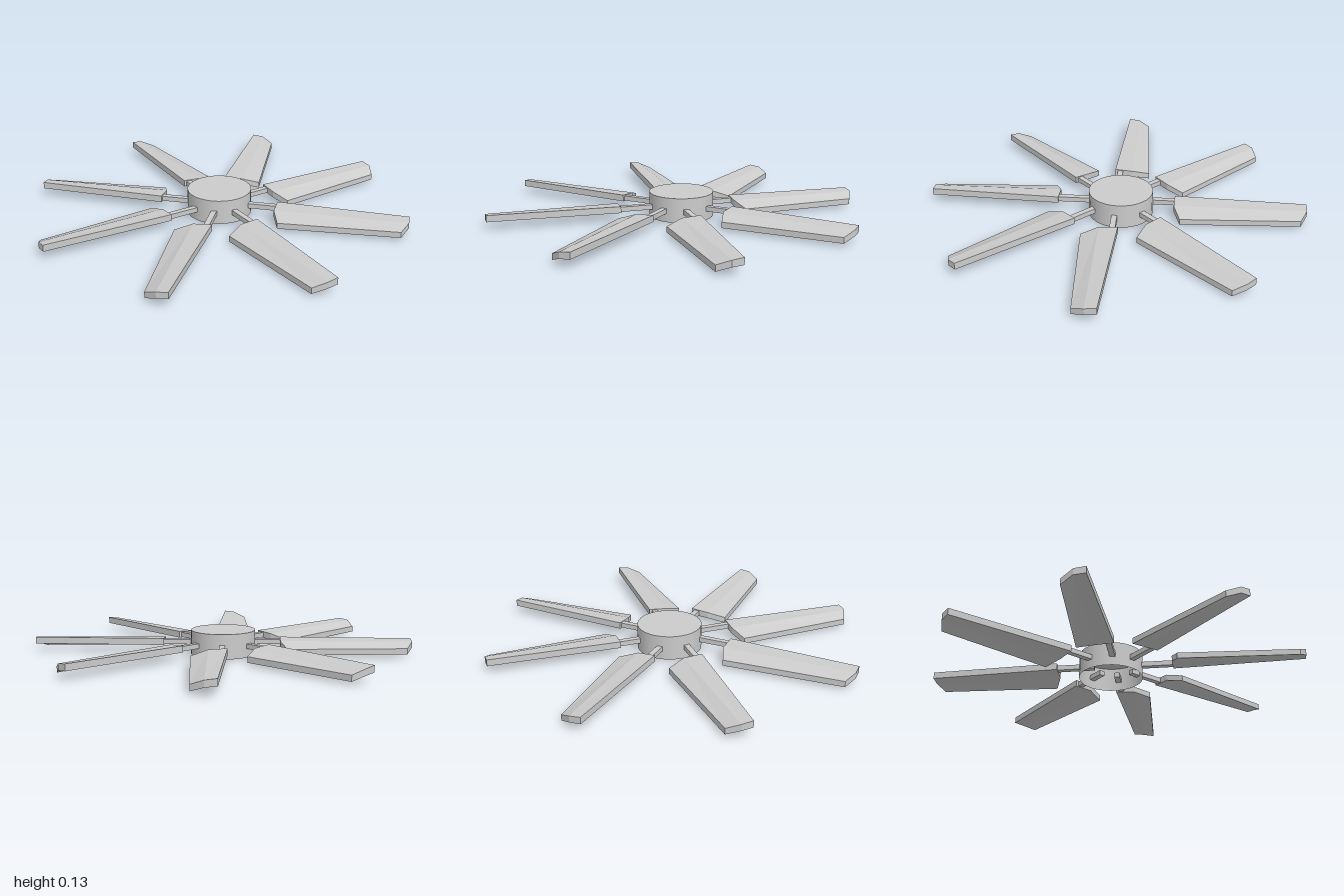
import * as THREE from 'three';

const material = new THREE.MeshStandardMaterial({ color: 0xcccccc, flatShading: true });
const hubMaterial = new THREE.MeshStandardMaterial({ color: 0xcccccc, side: THREE.DoubleSide });

// Cross-section loop of a bent slab: points are [radius, chord, top, bottom]
const section = (points) => [
  ...points.map(([r, c, top]) => new THREE.Vector3(r, top, c)),
  ...points.map(([r, c, , bottom]) => new THREE.Vector3(r, bottom, c)).reverse(),
];

// Blade lofted along +x between its root and tip sections
function bladeGeometry() {
  const root = section([[0.31, -0.033, 0.08, 0.045], [0.307, 0.065, 0.073, 0.04], [0.34, 0.155, 0.046, 0.015]]);
  const tip = section([[1, 0, 0.08, 0.045], [1, 0.058, 0.073, 0.04], [0.965, 0.122, 0.046, 0.015]]);
  const points = [];
  const quad = (a, b, c, d) => points.push(a, b, c, a, c, d);
  for (let j = 0; j < 6; j++) {
    const k = (j + 1) % 6;
    quad(root[j], root[k], tip[k], tip[j]);
  }
  for (const [a, b, c, d] of [[0, 1, 4, 5], [1, 2, 3, 4]]) {
    quad(tip[a], tip[b], tip[c], tip[d]);
    quad(root[d], root[c], root[b], root[a]);
  }
  const geometry = new THREE.BufferGeometry().setFromPoints(points);
  geometry.computeVertexNormals();
  return geometry;
}

export function createModel() {
  const model = new THREE.Group();
  model.name = 'fan';

  // Hub: a shallow cap, open underneath
  const hub = new THREE.Group();
  hub.name = 'hub';
  hub.position.set(-0.005, 0, -0.03);
  const wall = new THREE.Mesh(new THREE.CylinderGeometry(0.17, 0.17, 0.13, 32, 1, true), hubMaterial);
  wall.name = 'hubWall';
  wall.position.y = 0.065;
  const lid = new THREE.Mesh(new THREE.CircleGeometry(0.17, 32), hubMaterial);
  lid.name = 'hubLid';
  lid.rotation.x = -Math.PI / 2;
  lid.position.y = 0.13;
  hub.add(wall, lid);
  model.add(hub);

  // Eight blades on square spokes that reach through the hub wall
  const blade = bladeGeometry();
  const spoke = new THREE.BoxGeometry(0.23, 0.026, 0.03);
  for (let i = 0; i < 8; i++) {
    const arm = new THREE.Group();
    arm.name = `arm${i + 1}`;
    arm.rotation.y = (i * Math.PI) / 4;
    const bladeMesh = new THREE.Mesh(blade, material);
    bladeMesh.name = 'blade';
    const spokeMesh = new THREE.Mesh(spoke, material);
    spokeMesh.name = 'spoke';
    spokeMesh.position.set(0.225, 0.06, -0.004);
    arm.add(bladeMesh, spokeMesh);
    model.add(arm);
  }
  return model;
}
